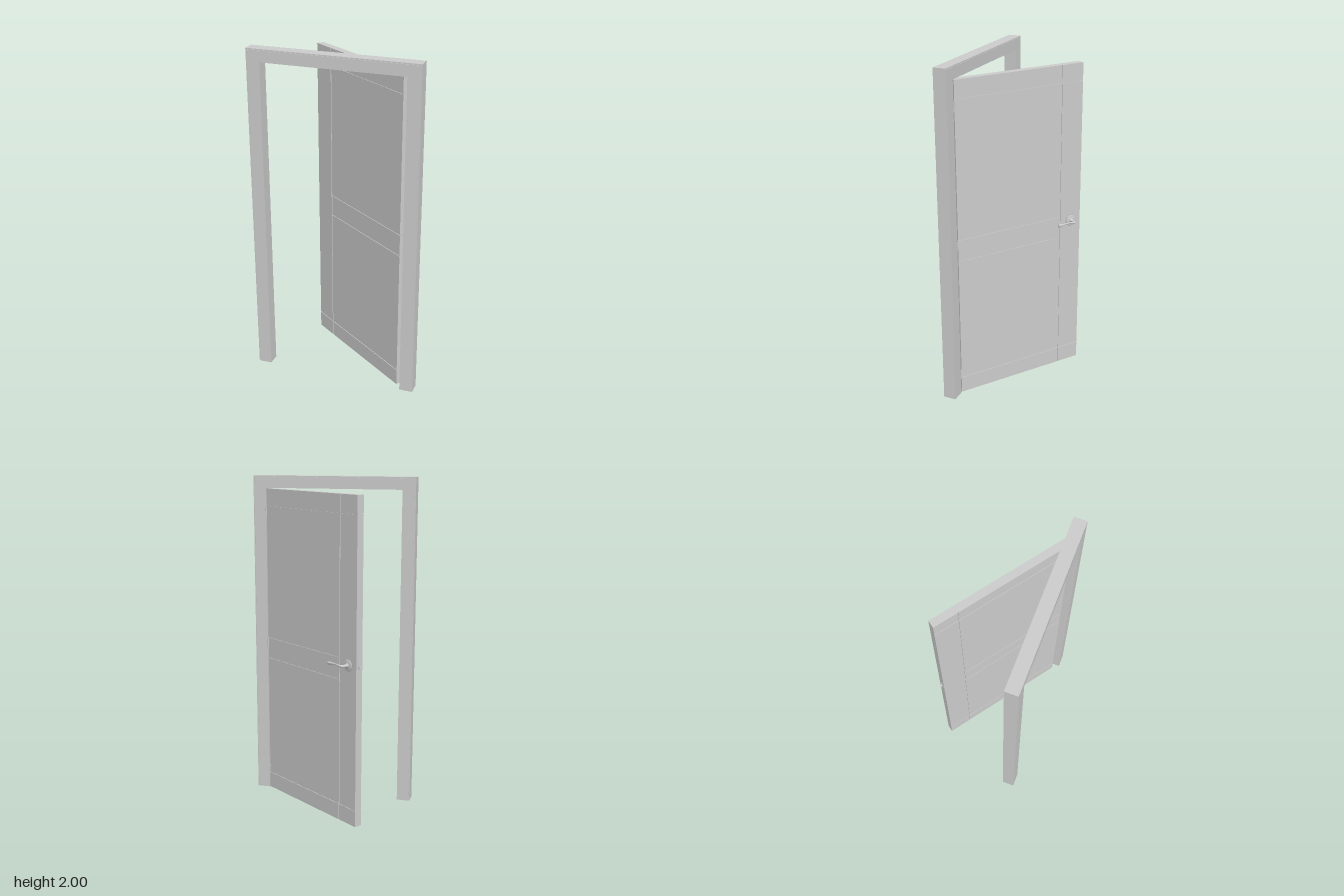
import * as THREE from 'three';

const mat = new THREE.MeshStandardMaterial({ color: 0xcccccc });

function add(parent, name, geo, x = 0, y = 0, z = 0) {
  const m = new THREE.Mesh(geo, mat);
  m.name = name;
  m.position.set(x, y, z);
  parent.add(m);
  return m;
}

// Box given by its minimum and maximum corners
function block(parent, name, x0, x1, y0, y1, z0, z1) {
  return add(parent, name, new THREE.BoxGeometry(x1 - x0, y1 - y0, z1 - z0),
    (x0 + x1) / 2, (y0 + y1) / 2, (z0 + z1) / 2);
}

// Doorway-shaped arch: two posts and a header in one extrusion
function arch(parent, name, xOut, yOut, xIn, yIn, z0, depth) {
  const s = new THREE.Shape([
    [-xOut, 0], [-xIn, 0], [-xIn, yIn], [xIn, yIn], [xIn, 0], [xOut, 0], [xOut, yOut], [-xOut, yOut],
  ].map(([x, y]) => new THREE.Vector2(x, y)));
  add(parent, name, new THREE.ExtrudeGeometry(s, { depth, bevelEnabled: false }), 0, 0, z0);
}

function makeFrame() {
  const g = new THREE.Group();
  g.name = 'doorFrame';
  const back = 0.215, front = 0.29, d = 0.003;
  arch(g, 'frameCore', 0.5, 2, 0.42, 1.926, back + d, front - back - 2 * d);
  // Facing on both sides, split by a narrow groove near the outer edge
  for (const z of [back, front - d]) {
    arch(g, 'frameRim', 0.5, 2, 0.4955, 1.9955, z, d);
    arch(g, 'frameFacing', 0.4925, 1.9925, 0.42, 1.926, z, d);
  }
  return g;
}

const L = 0.838, T = 0.045, Y0 = 0.004, Y1 = 1.923; // leaf length, thickness, bottom, top

function makeLeaf() {
  const g = new THREE.Group();
  g.name = 'doorLeaf';
  const d = 0.004, w = 0.003; // groove depth and half width
  block(g, 'leafCore', 0, L, Y0, Y1, -T + d, -d);
  const post = L - 0.145;
  const rows = [Y0, 0.105, 0.87, 1.0, 1.82, Y1];
  const stileRows = [Y0, 0.105, 1.82, Y1];
  const column = (name, x0, x1, ys, z) => {
    for (let i = 0; i < ys.length - 1; i++) {
      const a = ys[i] + (i > 0 ? w : 0);
      const b = ys[i + 1] - (i < ys.length - 2 ? w : 0);
      block(g, name, x0, x1, a, b, z, z + d);
    }
  };
  // Raised panels on both faces with grooves between them
  for (const z of [-T, -d]) {
    column('panel', 0, post - w, rows, z);
    column('lockStile', post + w, L, stileRows, z);
  }
  return g;
}

function makeHandle() {
  const g = new THREE.Group();
  g.name = 'handle';
  // Stepped rosette and neck, turned about the spindle
  const profile = [[0, 0], [0.034, 0], [0.034, 0.005], [0.031, 0.008], [0.015, 0.008],
    [0.012, 0.012], [0.009, 0.018], [0.0085, 0.035], [0, 0.035]];
  const rosette = new THREE.LatheGeometry(profile.map(p => new THREE.Vector2(...p)), 32);
  rosette.rotateX(Math.PI / 2);
  add(g, 'rosette', rosette);

  // Bent lever with a waist and a flared end
  const curve = new THREE.CatmullRomCurve3([
    [0, 0, 0.018], [0, 0, 0.036], [-0.004, 0, 0.046], [-0.014, 0.001, 0.05],
    [-0.045, 0.005, 0.051], [-0.085, 0.004, 0.051], [-0.12, 0.001, 0.051],
  ].map(p => new THREE.Vector3(...p)));
  const n = 60, k = 16;
  const geo = new THREE.TubeGeometry(curve, n, 1, k, false);
  const pos = geo.attributes.position, v = new THREE.Vector3();
  for (let i = 0; i <= n; i++) {
    const u = i / n, c = curve.getPointAt(u);
    const r = i === n ? 0 : 0.0065 + 0.0025 * Math.cos((u - 0.1) * Math.PI * 2.2);
    for (let j = 0; j <= k; j++) {
      const q = i * (k + 1) + j;
      v.fromBufferAttribute(pos, q).sub(c).multiplyScalar(r).add(c);
      pos.setXYZ(q, v.x, v.y, v.z);
    }
  }
  geo.computeVertexNormals();
  add(g, 'lever', geo);
  return g;
}

export function createModel() {
  const model = new THREE.Group();
  model.name = 'openDoor';
  model.add(makeFrame());

  // Door swung open about the hinge; local x runs to the free edge, local z out of the back
  const door = new THREE.Group();
  door.name = 'door';
  door.position.set(0.415, 0, 0.212);
  door.rotation.y = Math.PI - 0.62;
  door.add(makeLeaf());

  const handle = makeHandle();
  handle.position.set(L - 0.068, 0.965, 0);
  door.add(handle);

  // Lock plate and latch on the free edge
  block(door, 'lockPlate', L, L + 0.0015, 0.925, 0.985, -T / 2 - 0.011, -T / 2 + 0.011);
  const latch = new THREE.Shape([[0, -0.007], [0.009, -0.007], [0.014, 0.007], [0, 0.007]]
    .map(p => new THREE.Vector2(...p)));
  const latchGeo = new THREE.ExtrudeGeometry(latch, { depth: 0.022, bevelEnabled: false });
  latchGeo.rotateX(-Math.PI / 2);
  add(door, 'latch', latchGeo, L, 0.95, -T / 2);
  model.add(door);

  // Three hinges between leaf and frame
  for (const y of [0.125, 0.965, 1.775]) {
    add(model, 'hingeBarrel', new THREE.CylinderGeometry(0.005, 0.005, 0.052, 16), 0.418, y, 0.213);
    block(model, 'hingePlate', 0.4175, 0.42, y - 0.026, y + 0.026, 0.215, 0.24);
  }
  return model;
}
